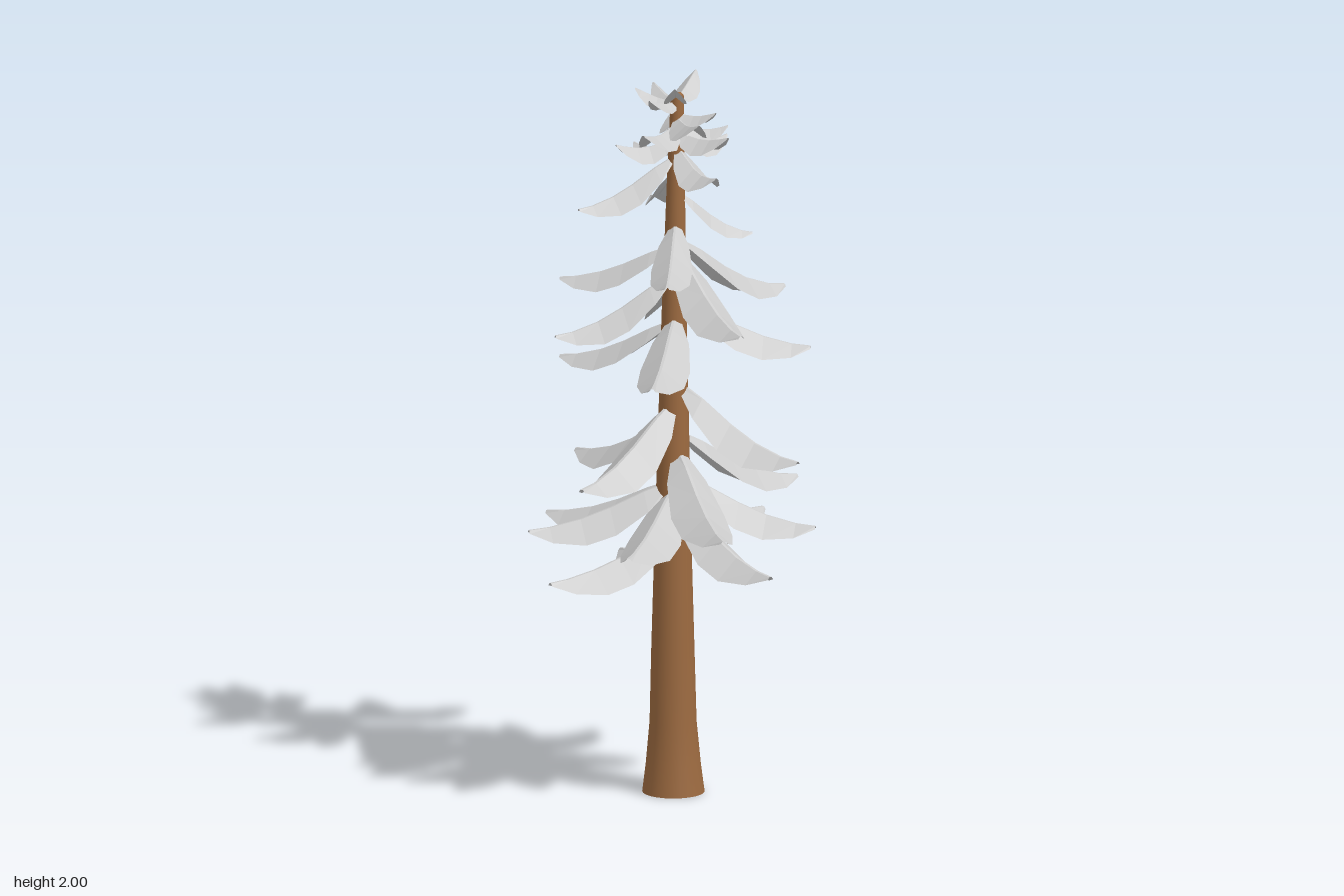
import * as THREE from 'three';

const AXIS = { x: 0.012, z: -0.01 };

// Large drooping boughs: tip x, z, y and height of the root on the trunk
const BOUGHS = [
  [0.055, -0.395, 0.60, 0.76], [-0.39, 0.01, 0.64, 0.74], [0.09, 0.38, 0.68, 0.83],
  [0.31, 0.235, 0.765, 0.90], [0.18, -0.35, 0.71, 0.87], [0.365, -0.16, 0.73, 0.85],
  [-0.285, 0.26, 0.75, 0.87], [-0.21, -0.335, 0.75, 0.88], [-0.385, -0.12, 0.76, 0.88],
  [-0.06, 0.39, 0.80, 0.98], [0.388, -0.01, 0.85, 1.02], [-0.09, -0.385, 0.90, 1.05],
  [-0.37, 0.15, 0.93, 1.11], [0.20, 0.335, 0.98, 1.16],
  [-0.205, -0.27, 1.20, 1.33], [-0.22, 0.275, 1.22, 1.35], [0.32, 0.19, 1.26, 1.39],
  [0.145, -0.33, 1.29, 1.45], [-0.33, -0.07, 1.31, 1.46], [0.01, 0.36, 1.36, 1.53],
  [0.365, -0.04, 1.38, 1.56], [-0.23, -0.225, 1.43, 1.54], [-0.155, 0.24, 1.49, 1.61],
  [0.20, 0.08, 1.57, 1.69], [0.065, -0.245, 1.62, 1.75], [-0.285, -0.02, 1.67, 1.79],
];

// Small sprigs near the top, curling upward
const SPRIGS = [
  [0.035, 0.175, 1.76, 1.82], [-0.035, -0.16, 1.80, 1.84], [0.17, -0.01, 1.83, 1.84],
  [-0.155, -0.045, 1.83, 1.84], [0.09, 0.14, 1.86, 1.86], [0.08, -0.145, 1.88, 1.88],
  [-0.14, 0.08, 1.88, 1.88], [0.14, 0.05, 1.87, 1.88], [-0.01, 0.16, 1.91, 1.90],
  [0.08, 0.09, 1.92, 1.91], [-0.09, 0.025, 1.96, 1.94], [-0.07, -0.09, 1.97, 1.94],
  [0.005, -0.125, 1.97, 1.94], [0.115, -0.085, 2.00, 1.95], [-0.045, 0.085, 2.00, 1.95],
];

// Leaf cross-sections: position along the leaf, relative width, relative height
const STATIONS = [
  [0.03, 0.2, 0.97], [0.22, 0.74, 0.75], [0.45, 1, 0.42],
  [0.65, 0.95, 0.19], [0.86, 0.57, 0.04], [1, 0.13, 0],
];

// Folded leaf: a narrow flat ridge with a sloping blade on each side
function leafGeometry([tx, tz, ty, rootY], widthRatio, sag) {
  const dx = tx - AXIS.x, dz = tz - AXIS.z;
  const len = Math.hypot(dx, dz), ux = dx / len, uz = dz / len;
  const ridge = len * 0.01;
  const pos = [], index = [];
  STATIONS.forEach(([t, w, h]) => {
    const half = w * widthRatio * len;
    const y = ty + (rootY - ty) * h - sag * len * Math.sin(Math.PI * t);
    for (const [side, drop] of [[-half, 0.78 * half], [-ridge, 0], [ridge, 0], [half, 0.78 * half]]) {
      pos.push(AXIS.x + ux * len * t - uz * side, y - drop, AXIS.z + uz * len * t + ux * side);
    }
  });
  for (let i = 0; i < STATIONS.length - 1; i++) {
    for (let j = 0; j < 3; j++) {
      const a = i * 4 + j, b = a + 4;
      index.push(a, a + 1, b, a + 1, b + 1, b);
    }
  }
  const geo = new THREE.BufferGeometry();
  geo.setAttribute('position', new THREE.Float32BufferAttribute(pos, 3));
  geo.setIndex(index);
  geo.computeVertexNormals();
  return geo;
}

function addLeaves(parent, name, list, widthRatio, sag, material) {
  const group = new THREE.Group();
  group.name = name + 's';
  list.forEach((leaf, i) => {
    const mesh = new THREE.Mesh(leafGeometry(leaf, widthRatio, sag), material);
    mesh.name = `${name}${i + 1}`;
    group.add(mesh);
  });
  parent.add(group);
}

function createTrunk(material) {
  const trunk = new THREE.Group();
  trunk.name = 'trunk';

  // Flared, tapering stem, leaning very slightly
  const profile = [[0.085, 0], [0.075, 0.08], [0.064, 0.2], [0.059, 0.4], [0.052, 0.65],
    [0.043, 1], [0.034, 1.35], [0.025, 1.7], [0.018, 1.955], [0.012, 1.963], [0, 1.965]];
  const geo = new THREE.LatheGeometry(profile.map(([r, y]) => new THREE.Vector2(r, y)), 24);
  const p = geo.attributes.position;
  const leanX = (y) => 0.015 - 0.012 * Math.sin(Math.PI * Math.min(1, y / 1.96));
  const leanZ = (y) => -0.03 + 0.022 * Math.min(1, y / 0.9);
  for (let i = 0; i < p.count; i++) {
    const y = p.getY(i);
    p.setX(i, p.getX(i) + leanX(y));
    p.setZ(i, p.getZ(i) + leanZ(y));
  }
  const stem = new THREE.Mesh(geo, material);
  stem.name = 'stem';

  // Closed underside
  const base = new THREE.Mesh(new THREE.CircleGeometry(0.085, 24), material);
  base.name = 'trunkBase';
  base.rotation.x = Math.PI / 2;
  base.position.set(leanX(0), 0, leanZ(0));
  trunk.add(stem, base);
  return trunk;
}

export function createModel() {
  const tree = new THREE.Group();
  tree.name = 'coniferTree';
  const bark = new THREE.MeshStandardMaterial({ color: 0x9c6a40 });
  const foliage = new THREE.MeshStandardMaterial({
    color: 0xcccccc, flatShading: true, side: THREE.DoubleSide,
  });
  tree.add(createTrunk(bark));
  addLeaves(tree, 'bough', BOUGHS, 0.187, 0, foliage);
  addLeaves(tree, 'sprig', SPRIGS, 0.28, 0.1, foliage);
  return tree;
}
